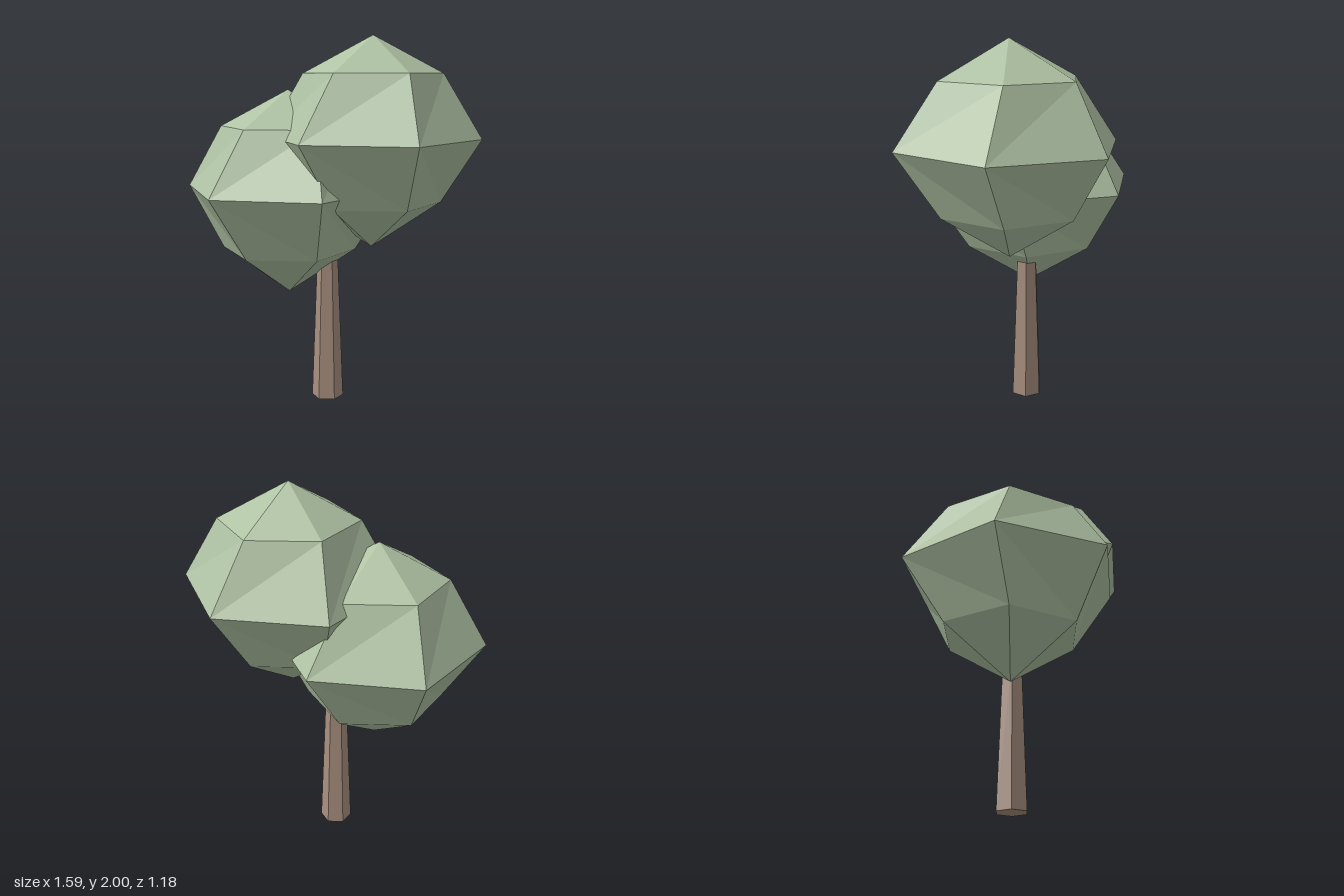
import * as THREE from 'three';

const SIDES = 6;
const TWIST = 0.11; // the widest ring is turned slightly against the others

// Crown cross-sections from top to bottom: height, x radius, z radius, turn
const RINGS = [
  [0.53, 0, 0, 0],
  [0.335, 0.367, 0.379, 0],
  [0, 0.571, 0.597, TWIST],
  [-0.337, 0.367, 0.379, 0],
  [-0.585, 0, 0, 0],
];

function crownGeometry() {
  const point = (ring, k) => {
    const [y, rx, rz, turn] = RINGS[ring];
    const a = (k / SIDES) * Math.PI * 2 + turn;
    return [rx * Math.cos(a), y, rz * Math.sin(a)];
  };
  const positions = [];
  const tri = (...corners) => corners.forEach((c) => positions.push(...c));
  for (let k = 0; k < SIDES; k++) {
    // caps
    tri(point(0, 0), point(1, k + 1), point(1, k));
    tri(point(4, 0), point(3, k), point(3, k + 1));
    // upper band
    tri(point(1, k), point(1, k + 1), point(2, k + 1));
    tri(point(1, k), point(2, k + 1), point(2, k));
    // lower band
    tri(point(2, k), point(2, k + 1), point(3, k));
    tri(point(2, k + 1), point(3, k + 1), point(3, k));
  }
  const geometry = new THREE.BufferGeometry();
  geometry.setAttribute('position', new THREE.Float32BufferAttribute(positions, 3));
  geometry.computeVertexNormals();
  return geometry;
}

export function createModel() {
  const group = new THREE.Group();
  group.name = 'tree';

  const leafGreen = new THREE.MeshStandardMaterial({ color: 0xafc2a3 });
  leafGreen.name = 'leaf green';
  leafGreen.flatShading = true;
  const barkBrown = new THREE.MeshStandardMaterial({ color: 0xa78f7e });
  barkBrown.name = 'bark brown';
  barkBrown.flatShading = true;

  // Tapered six-sided trunk
  const trunkHeight = 0.805;
  const trunk = new THREE.Mesh(
    new THREE.CylinderGeometry(0.057, 0.0875, trunkHeight, SIDES),
    barkBrown
  );
  trunk.name = 'trunk';
  trunk.rotation.y = Math.PI / 2;
  trunk.position.set(-0.022, trunkHeight / 2, -0.02);
  group.add(trunk);

  // Two overlapping leaf crowns
  const geometry = crownGeometry();
  const crowns = [
    ['upperCrown', 0.22, 1.47, 0.057],
    ['lowerCrown', -0.236, 1.19, -0.025],
  ];
  for (const [name, x, y, z] of crowns) {
    const crown = new THREE.Mesh(geometry, leafGreen);
    crown.name = name;
    crown.position.set(x, y, z);
    group.add(crown);
  }
  return group;
}
